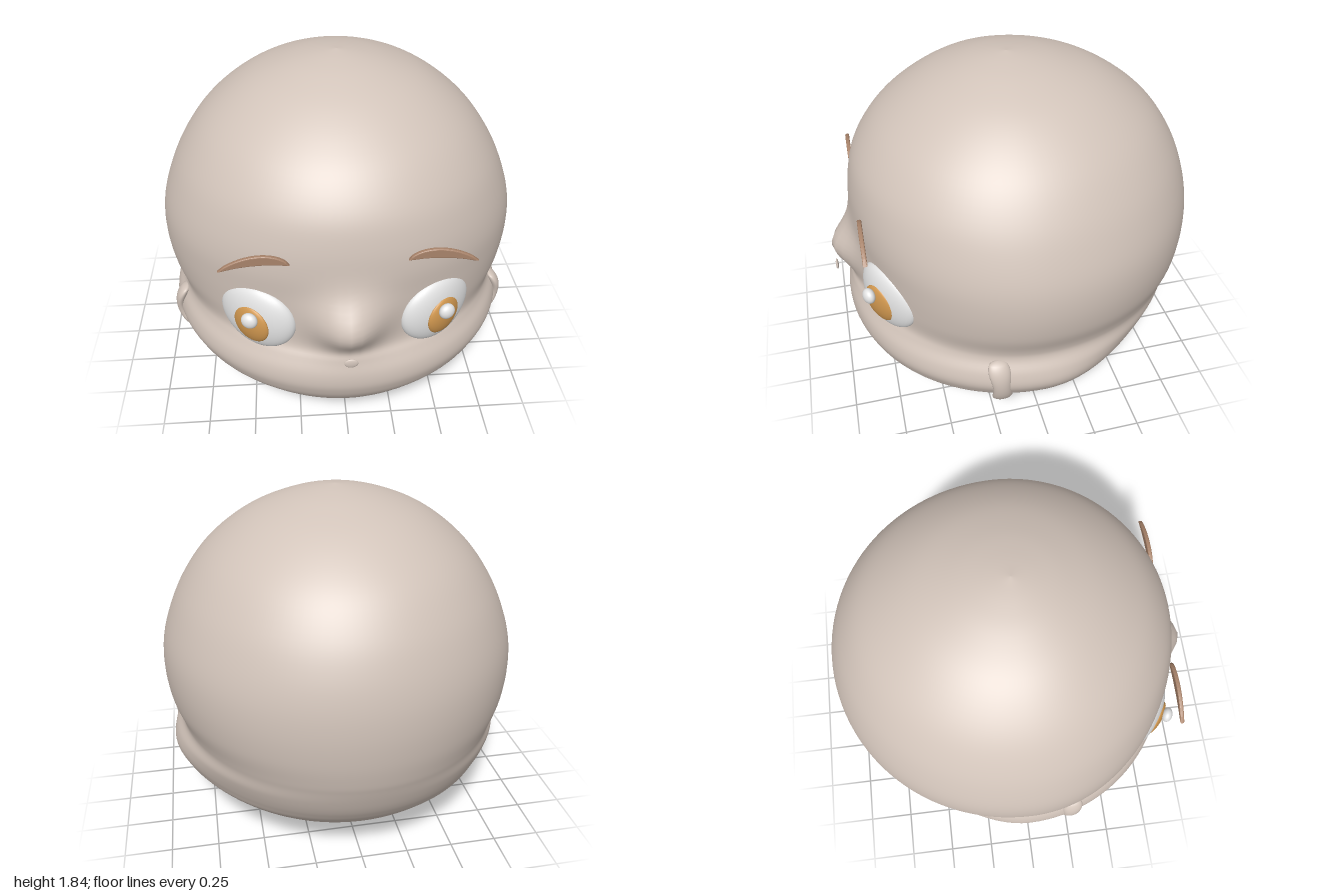
import * as THREE from 'three';

const mat = (name, color) => {
  const m = new THREE.MeshStandardMaterial({ color });
  m.name = name;
  return m;
};

// Head cross-sections from bottom to top: [y, half width, front z, back z, z of widest point]
const SECTIONS = [
  [0.0, 0.0, -0.03, -0.03, -0.03],
  [0.005, 0.13, 0.1, -0.16, -0.03],
  [0.022, 0.23, 0.28, -0.18, 0.03],
  [0.05, 0.335, 0.56, -0.21, 0.12],
  [0.1, 0.485, 0.69, -0.43, 0.1],
  [0.2, 0.71, 0.815, -0.685, 0.06],
  [0.3, 0.87, 0.895, -0.805, 0.02],
  [0.37, 0.925, 0.928, -0.86, 0],
  [0.43, 0.943, 0.94, -0.895, 0],
  [0.5, 0.928, 0.932, -0.925, 0],
  [0.57, 0.893, 0.9, -0.95, 0],
  [0.63, 0.897, 0.865, -0.968, 0],
  [0.75, 0.938, 0.855, -0.99, 0],
  [0.9, 0.957, 0.86, -1.0, 0],
  [1.05, 0.947, 0.87, -0.99, 0],
  [1.2, 0.902, 0.858, -0.955, 0],
  [1.35, 0.832, 0.815, -0.892, 0],
  [1.5, 0.728, 0.715, -0.79, 0],
  [1.62, 0.602, 0.582, -0.655, 0],
  [1.72, 0.45, 0.425, -0.49, 0],
  [1.79, 0.275, 0.26, -0.3, 0],
  [1.825, 0.13, 0.125, -0.145, 0],
  [1.842, 0.0, 0, 0, 0],
];

function headGeometry() {
  const RINGS = 110, SEGS = 112;
  const sides = new THREE.CatmullRomCurve3(
    SECTIONS.map((s) => new THREE.Vector3(s[1], s[0], s[4])), false, 'catmullrom');
  const depths = new THREE.CatmullRomCurve3(
    SECTIONS.map((s) => new THREE.Vector3(s[2], s[0], s[3])), false, 'catmullrom');
  const pos = [], index = [];
  for (let i = 0; i <= RINGS; i++) {
    const { x: w, y, z: mid } = sides.getPoint(i / RINGS);
    const { x: front, z: back } = depths.getPoint(i / RINGS);
    for (let j = 0; j < SEGS; j++) {
      const a = (j / SEGS) * Math.PI * 2, c = Math.cos(a);
      // the jaw ridge fades out towards the back
      const fade = THREE.MathUtils.smoothstep(-c, 0, 0.8);
      const x = Math.sin(a) * (w - 0.08 * fade * Math.exp(-(((y - 0.4) / 0.12) ** 2)));
      let z = mid + c * (c > 0 ? front - mid : mid - back);
      // nose bump
      if (c > 0) z += 0.145 * Math.exp(-((x / 0.17) ** 2) - ((y - 0.785) / 0.15) ** 2);
      pos.push(x, Math.max(y, 0), z);
      if (i < RINGS) {
        const p = i * SEGS + j, q = i * SEGS + ((j + 1) % SEGS);
        index.push(p, q, q + SEGS, p, q + SEGS, p + SEGS);
      }
    }
  }
  const g = new THREE.BufferGeometry();
  g.setAttribute('position', new THREE.Float32BufferAttribute(pos, 3));
  g.setIndex(index);
  g.computeVertexNormals();
  return g;
}

// A unit sphere whose points are moved by a rule (x, y, z) => [x, y, z]
function shapedBall(rule) {
  const g = new THREE.SphereGeometry(1, 40, 32);
  const p = g.attributes.position;
  for (let i = 0; i < p.count; i++) p.setXYZ(i, ...rule(p.getX(i), p.getY(i), p.getZ(i)));
  g.computeVertexNormals();
  return g;
}

// Peanut-shaped ear: stretched tall, pinched at the waist and bowed outwards
const earGeometry = () => shapedBall((x, y, z) => {
  const s = 1 - y * y;
  const k = (1 - 0.35 * s * s) / Math.max(Math.sqrt(s), 0.35) ** 0.45;
  return [
    0.905 + 0.015 * y - 0.06 * y * y + 0.04 * k * x,
    0.418 + 0.154 * y,
    0.245 + 0.014 * y + (0.073 + 0.004 * y) * k * z,
  ];
});

// Eyes hug the curve of the face
const EYE = { x: 0.441, y: 0.754, rx: 0.185, ry: 0.179, bulge: 0.07 };
const faceZ = (x) => 0.855 * Math.sqrt(1 - (x / 0.94) ** 2);
const eyeZ = (x, y) => faceZ(x) + EYE.bulge * Math.sqrt(
  Math.max(0, 1 - ((x - EYE.x) / EYE.rx) ** 2 - ((y - EYE.y) / EYE.ry) ** 2));

const eyeballGeometry = () => shapedBall((u, v, w) => {
  const x = EYE.x + EYE.rx * u;
  return [x, EYE.y + EYE.ry * v, faceZ(x) + EYE.bulge * w];
});

const irisGeometry = () => shapedBall((u, v, w) => {
  const x = 0.476 + 0.084 * u, y = 0.738 + 0.108 * v;
  return [x, y, eyeZ(x, y) + 0.022 * w];
});

// Thin arched brow with softened edges
function browGeometry() {
  const s = new THREE.Shape();
  s.moveTo(0.284, 1.132);
  s.bezierCurveTo(0.33, 1.192, 0.47, 1.207, 0.6, 1.112);
  s.bezierCurveTo(0.51, 1.142, 0.37, 1.15, 0.284, 1.132);
  return new THREE.ExtrudeGeometry(s, {
    depth: 0.008, bevelEnabled: true, bevelSize: 0.006, bevelThickness: 0.007,
    bevelSegments: 3, curveSegments: 16,
  }).translate(0, 0, 0.828);
}

const ball = (rx, ry, rz) => new THREE.SphereGeometry(1, 32, 24).scale(rx, ry, rz);

// Mirror a left-hand geometry to the right, keeping its faces outward
function mirrored(geometry) {
  const g = geometry.clone().scale(-1, 1, 1);
  const order = g.index
    ? Array.from(g.index.array)
    : Array.from({ length: g.attributes.position.count }, (_, i) => i);
  for (let i = 0; i < order.length; i += 3) {
    [order[i], order[i + 1]] = [order[i + 1], order[i]];
  }
  g.setIndex(order);
  return g;
}

export function createModel() {
  const model = new THREE.Group();
  model.name = 'cartoonHead';
  const skin = mat('skin', 0xd2c4ba);
  const white = mat('eyeWhite', 0xe4e4e4);
  const amber = mat('irisAmber', 0xd0974f);
  const brown = mat('browBrown', 0xa8836a);

  const add = (name, geometry, material) => {
    const m = new THREE.Mesh(geometry, material);
    m.name = name;
    model.add(m);
  };

  add('head', headGeometry(), skin);
  // small round mouth floating before the face
  add('mouth', ball(0.034, 0.026, 0.008).translate(0, 0.637, 0.991), skin);

  // paired parts, defined on the left side
  const pairs = [
    ['Ear', earGeometry(), skin],
    ['Brow', browGeometry(), brown],
    ['Eyeball', eyeballGeometry(), white],
    ['Iris', irisGeometry(), amber],
    ['EyeHighlight', ball(0.042, 0.042, 0.03).rotateY(0.4).translate(0.481, 0.803, 0.838), white],
  ];
  for (const [name, geometry, material] of pairs) {
    add('left' + name, geometry, material);
    add('right' + name, mirrored(geometry), material);
  }
  return model;
}
